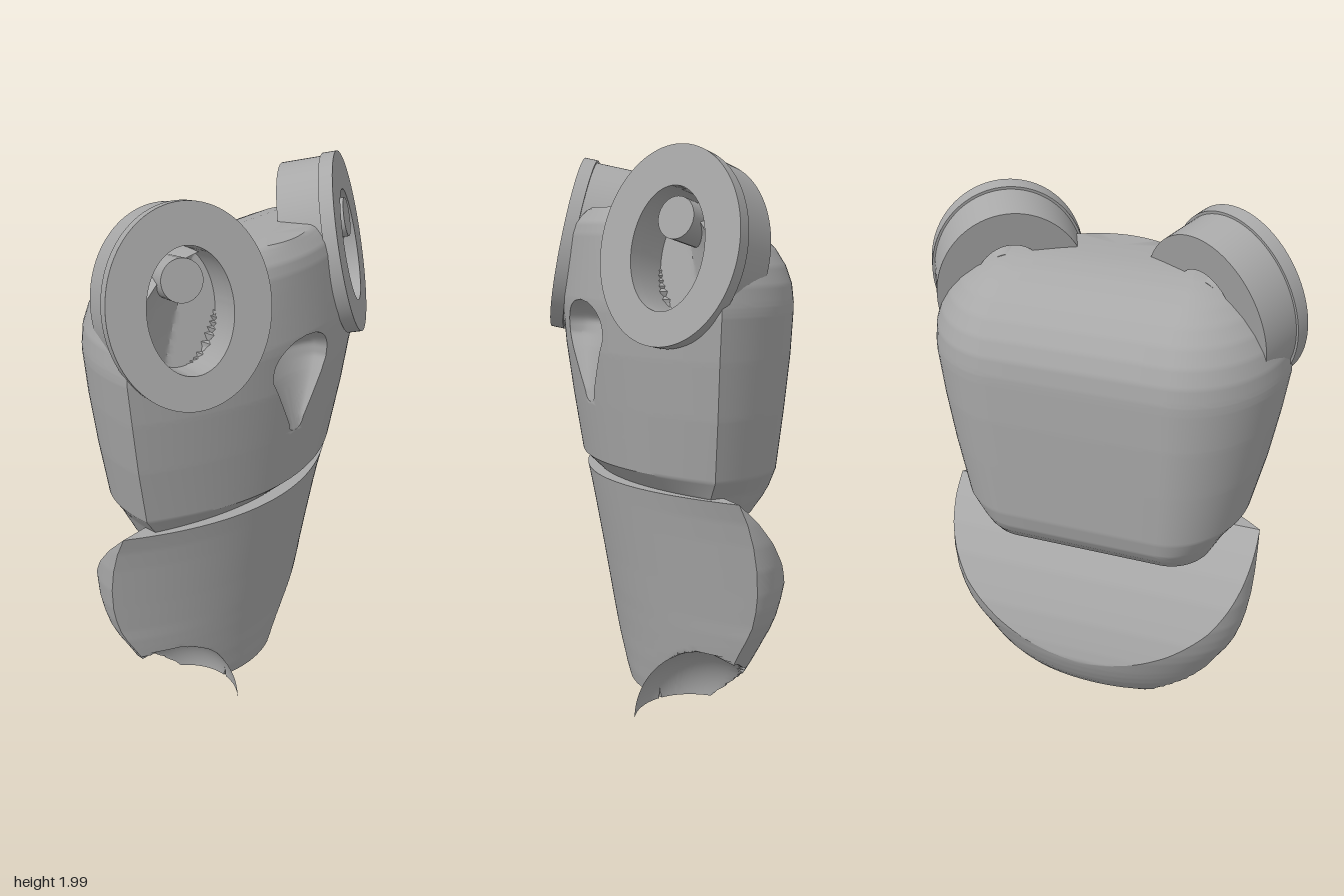
import * as THREE from 'three';
import { toCreasedNormals } from 'three/addons/utils/BufferGeometryUtils.js';

const V = (x, y, z) => new THREE.Vector3(x, y, z);
const lerp = THREE.MathUtils.lerp;

// Eye frame: the face looks towards +x, each eye turned outwards and up
const EYE_W = 0.275, EYE_H = 0.33;
function eyeFrame(s) {
  const n = V(0.87, 0.21, 0.46 * s).normalize();
  const h = V(0, 1, 0).cross(n).normalize();
  return { c: V(0.187, 1.672, 0.438 * s), n, h, v: n.clone().cross(h) };
}
const eyes = [1, -1].map(eyeFrame);

// Loft through levels [y, front x, edge x, back x, half width, flat half width at the back, rear cut x]
const FRONT = 100, SIDE = 20, FLAT = 8;
function loft(levels, step, inner, sculpt) {
  const rows = [];
  levels.forEach((lv, i) => {
    const next = levels[i + 1];
    if (!next) return rows.push(lv);
    const k = Math.max(1, Math.ceil((next[0] - lv[0]) / step));
    for (let q = 0; q < k; q++) rows.push(lv.map((a, j) => lerp(a, next[j], q / k)));
  });
  const pos = [], idx = [], n = FRONT + 2 * SIDE + FLAT;
  for (const [y, xf, xe, xb, w, f, cut] of rows) {
    const put = (x, z, t) => {
      const p = V(x, y, z);
      sculpt(p, t, xe);
      pos.push(p.x, p.y, p.z);
    };
    // front arc, with grid lines following the inner width
    const iw = inner(y, w), mid = w / 2;
    for (let j = 0; j < FRONT; j++) {
      const u = -1 + 2 * j / FRONT, m = Math.abs(u);
      const a = m <= 0.2 ? iw * m / 0.2 : m < 0.5 ? lerp(iw, mid, (m - 0.2) / 0.3) : w * m;
      const z = Math.sign(u) * a;
      put(xf - (xf - xe) * (z / w) ** 2, z, z / w);
    }
    // side arc, flat back, mirrored side arc
    const end = Math.asin(Math.min(1, (xe - cut) / Math.max(1e-6, xe - xb)));
    const arc = a => [xe - (xe - xb) * Math.sin(a), f + (w - f) * Math.cos(a)];
    for (let j = 0; j < SIDE; j++) {
      const [x, z] = arc(end * j / SIDE);
      put(x, z, 1);
    }
    const [bx, bz] = arc(end);
    for (let j = 0; j < FLAT; j++) put(bx, bz * (1 - 2 * j / FLAT), 1);
    for (let j = SIDE; j > 0; j--) {
      const [x, z] = arc(end * j / SIDE);
      put(x, -z, 1);
    }
  }
  for (let i = 0; i < rows.length - 1; i++) {
    for (let j = 0; j < n; j++) {
      const a = i * n + j, b = i * n + (j + 1) % n;
      idx.push(a, a + n, b + n, a, b + n, b);
    }
  }
  // caps
  const last = (rows.length - 1) * n, bottom = pos.length / 3;
  for (const r of [rows[0], rows[rows.length - 1]]) pos.push((r[1] + Math.max(r[3], r[6])) / 2, r[0], 0);
  for (let j = 0; j < n; j++) {
    const k = (j + 1) % n;
    idx.push(bottom, j, k, bottom + 1, last + k, last + j);
  }
  const g = new THREE.BufferGeometry();
  g.setAttribute('position', new THREE.Float32BufferAttribute(pos, 3));
  g.setIndex(idx);
  return toCreasedNormals(g, 0.55);
}

// Beak half width at a height; beyond its ends the grid lines spread out again
const BEAK_TOP = 1.48, BEAK_TIP = 1.11;
function beakWidth(y) {
  if (y > BEAK_TOP) return 0.15 * Math.min(1, (y - BEAK_TOP) / 0.1);
  if (y < BEAK_TIP) return 0.15 * Math.min(1, (BEAK_TIP - y) / 0.1);
  if (y > 1.38) return 0.152 * Math.sqrt(Math.max(0, 1 - ((y - 1.38) / 0.1) ** 2));
  if (y > 1.15) return lerp(0.04, 0.152, Math.min(1, (y - 1.15) / 0.2));
  return 0.04 * Math.sqrt(Math.max(0, 1 - ((1.15 - y) / 0.04) ** 2));
}

// Hollow out the beak and the eye sockets in the face (t runs from -1 to 1 across it)
function sculptHead(p, t, edge) {
  if (Math.abs(t) >= 1) return;
  const bw = beakWidth(p.y);
  if (p.y < BEAK_TOP && p.y > BEAK_TIP && Math.abs(p.z) < bw) {
    const depth = 0.11 * Math.min(1, (p.y - BEAK_TIP) / 0.28, Math.sqrt((BEAK_TOP - p.y) / 0.08));
    p.x -= depth * Math.sqrt(1 - (p.z / bw) ** 2);
  }
  const floor = edge - 0.07 * (1 - t * t);
  for (const e of eyes) {
    const o = p.clone().sub(e.c), d = o.dot(e.n);
    const r = (o.dot(e.h) / EYE_W) ** 2 + (o.dot(e.v) / EYE_H) ** 2;
    const limit = r < 0.7 ? -0.17 : r < 1 ? -0.03 : 9;
    if (d > limit) p.x = Math.min(p.x, Math.max(floor, p.x - (d - limit) / e.n.x));
  }
}

// Press the body in where the hollow foot sockets cut it
const FOOT = V(0.04, 0, 0.42), FOOT_R = V(0.23, 0.25, 0.28);
function sculptBody(p) {
  const r = 1 - ((p.x - FOOT.x) / FOOT_R.x) ** 2 - (p.y / FOOT_R.y) ** 2;
  if (r <= 0) return;
  const half = FOOT_R.z * Math.sqrt(r), z = Math.abs(p.z);
  if (z > FOOT.z - half && z < FOOT.z + half) p.z = Math.sign(p.z) * (FOOT.z - half);
}

// Oval ring from depth z0 to z1
function ovalRing(size, z0, z1) {
  const shape = new THREE.Shape().absellipse(0, 0, EYE_W * size, EYE_H * size, 0, Math.PI * 2);
  shape.holes.push(new THREE.Path().absellipse(0, -0.01, 0.145, 0.205, 0, Math.PI * 2, true));
  const g = new THREE.ExtrudeGeometry(shape, { depth: z1 - z0, bevelEnabled: false, curveSegments: 48 });
  g.translate(0, 0, z0);
  return toCreasedNormals(g, 0.5);
}

export function createModel() {
  const model = new THREE.Group();
  const grey = new THREE.MeshStandardMaterial({ color: 0xa8a8a8 });
  grey.name = 'grey';
  const add = (parent, name, geometry) => {
    const m = new THREE.Mesh(geometry, grey);
    m.name = name;
    parent.add(m);
    return m;
  };

  // Head: curved face in front, rounded shell behind
  const headLevels = [
    [0.70, -0.05, -0.10, -0.15, 0.36, 0.28, -9],
    [0.74, 0.02, -0.04, -0.21, 0.43, 0.28, -9],
    [0.79, 0.10, 0.02, -0.255, 0.465, 0.28, -9],
    [0.83, 0.18, 0.05, -0.28, 0.49, 0.28, -9],
    [0.895, 0.25, 0.06, -0.297, 0.54, 0.28, -9],
    [BEAK_TIP, 0.28, 0.078, -0.313, 0.588, 0.29, -9],
    [1.30, 0.305, 0.09, -0.325, 0.62, 0.3, -9],
    [1.45, 0.315, 0.095, -0.33, 0.64, 0.3, -9],
    [BEAK_TOP, 0.315, 0.095, -0.33, 0.64, 0.3, -9],
  ];
  // domed top of the head, with a bevelled brow
  for (let q = 1; q <= 8; q++) {
    const a = q * Math.PI / 16, y = 1.48 + 0.32 * Math.sin(a), c = Math.cos(a);
    const xf = 0.315 - 0.1 * (y - 1.48) - 0.6 * Math.max(0, y - 1.735);
    headLevels.push([y, xf, 0.095, 0.06 - 0.39 * c, 0.3 + 0.34 * c, 0.3, -9]);
  }
  add(model, 'head', loft(headLevels, 0.009, beakWidth, sculptHead));

  // Lower body: bowl with a sloping rear cut
  add(model, 'lowerBody', loft([
    [0.00, 0.09, -0.04, -0.13, 0.32, 0, -0.5],
    [0.05, 0.10, -0.04, -0.185, 0.36, 0, -0.5],
    [0.10, 0.107, -0.042, -0.225, 0.40, 0, -0.5],
    [0.15, 0.115, -0.045, -0.26, 0.435, 0, -0.5],
    [0.20, 0.122, -0.048, -0.288, 0.465, 0, -0.48],
    [0.25, 0.13, -0.055, -0.311, 0.491, 0, -0.39],
    [0.28, 0.135, -0.06, -0.322, 0.507, 0, -0.32],
    [0.33, 0.143, -0.07, -0.34, 0.534, 0, -0.31],
    [0.38, 0.152, -0.08, -0.353, 0.555, 0, -0.295],
    [0.44, 0.162, -0.082, -0.367, 0.573, 0, -0.275],
    [0.50, 0.172, -0.08, -0.38, 0.586, 0, -0.247],
    [0.59, 0.188, -0.07, -0.387, 0.598, 0, -0.2],
    [0.68, 0.204, -0.053, -0.39, 0.602, 0, -0.14],
    [0.76, 0.218, -0.03, -0.385, 0.601, 0, -0.073],
    [0.83, 0.23, 0.0, -0.38, 0.597, 0, 0.0],
  ], 0.0125, (y, w) => 0.2 * w, sculptBody));

  // Foot sockets: thin hollow flaps reaching forward from the body
  for (const s of [1, -1]) {
    const g = new THREE.SphereGeometry(1, 16, 16,
      Math.PI * (s > 0 ? 1.55 : 1.12), Math.PI * 0.33, Math.PI * 0.2, Math.PI * 0.3);
    g.scale(-FOOT_R.x * s, FOOT_R.y, FOOT_R.z * s);
    g.computeVertexNormals();
    add(model, s > 0 ? 'leftFootSocket' : 'rightFootSocket', g).position.set(FOOT.x, 0, FOOT.z * s);
  }

  // Eyes: housing, front ring and pupil peg
  eyes.forEach((e, i) => {
    const eye = new THREE.Group();
    eye.name = i === 0 ? 'leftEye' : 'rightEye';
    eye.quaternion.setFromRotationMatrix(new THREE.Matrix4().makeBasis(e.h, e.v, e.n));
    eye.position.copy(e.c);
    add(eye, 'eyeHousing', ovalRing(0.97, -0.2, -0.05));
    add(eye, 'eyeRing', ovalRing(1, -0.05, 0));
    const peg = new THREE.CylinderGeometry(0.07, 0.07, 0.2, 32);
    peg.rotateX(Math.PI / 2);
    add(eye, 'pupil', peg).position.set(i === 0 ? -0.02 : 0.02, 0.09, -0.1);
    model.add(eye);
  });
  return model;
}
